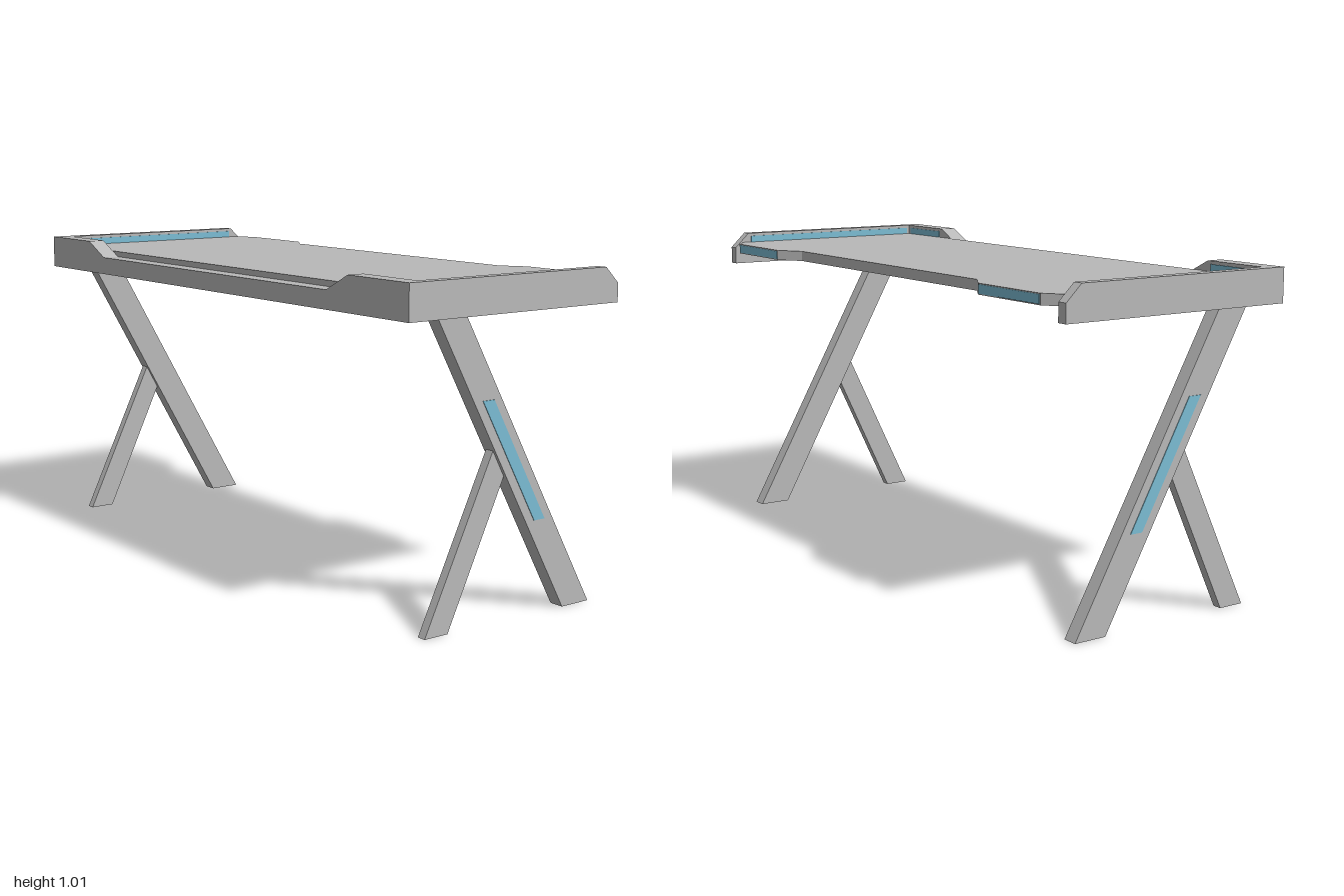
import * as THREE from 'three';

const grey = new THREE.MeshStandardMaterial({ color: 0xb8b8b8 });
grey.name = 'grey';
const blue = new THREE.MeshStandardMaterial({ color: 0x7abbd2 });
blue.name = 'blue';

const extrude = (points, depth) => new THREE.ExtrudeGeometry(
  new THREE.Shape(points.map(([a, b]) => new THREE.Vector2(a, b))),
  { depth, bevelEnabled: false });

// Side profile of [z, y] points, spanning x0..x1
const sidePlate = (points, x0, x1) =>
  extrude(points, Math.abs(x1 - x0)).rotateY(-Math.PI / 2).translate(Math.max(x0, x1), 0, 0);

const box = (x0, x1, y0, y1, z0, z1) =>
  new THREE.BoxGeometry(Math.abs(x1 - x0), y1 - y0, z1 - z0)
    .translate((x0 + x1) / 2, (y0 + y1) / 2, (z0 + z1) / 2);

// Mirror half an outline across x = 0
const mirrored = (half) => [...half, ...half.map(([x, v]) => [-x, v]).reverse()];

export function createModel() {
  const model = new THREE.Group();
  model.name = 'desk';
  const add = (name, geometry, material = grey) => {
    const mesh = new THREE.Mesh(geometry, material);
    mesh.name = name;
    model.add(mesh);
  };

  // Tabletop with a recessed middle along the back edge
  const outline = mirrored([
    [0.53, -0.355], [0.61, -0.406], [0.905, -0.406], [0.967, -0.36], [0.967, 0.352],
  ]);
  add('tabletop', extrude(outline, 0.033).rotateX(Math.PI / 2).translate(0, 0.98, 0));

  // Front rim, lowered in the middle
  const front = mirrored([[1, 0.905], [1, 1.012], [0.735, 1.012], [0.635, 0.962]]);
  add('frontRim', extrude(front, 0.056).translate(0, 0, 0.352));

  for (const s of [1, -1]) {
    const side = s > 0 ? 'left' : 'right';

    // Side rim with a chamfered back corner
    add(side + 'Rim', sidePlate([
      [0.352, 0.905], [0.352, 1.012], [-0.34, 1.012], [-0.392, 0.962], [-0.392, 0.905],
    ], s * 0.966, s));

    // Crossed legs
    add(side + 'MainLeg', sidePlate([
      [-0.222, 0], [0.307, 0.945], [0.202, 0.945], [-0.33, 0],
    ], s * 0.928, s * 0.976));
    add(side + 'Strut', sidePlate([
      [0.31, 0], [0.064, 0.51], [0.02, 0.43], [0.225, 0],
    ], s * 0.938, s * 0.967));

    // Blue inlays on the leg, inner rims and back edge
    add(side + 'LegStripe', sidePlate([
      [0.115, 0.66], [0.072, 0.66], [-0.137, 0.285], [-0.095, 0.285],
    ], s * 0.974, s * 0.978), blue);
    add(side + 'RimStripe', box(s * 0.963, s * 0.967, 0.979, 1.002, -0.33, 0.34), blue);
    add(side + 'FrontRimStripe', box(s * 0.75, s * 0.95, 0.979, 1.002, 0.349, 0.353), blue);
    add(side + 'BackStripe', box(s * 0.615, s * 0.9, 0.95, 0.977, -0.408, -0.405), blue);
  }
  return model;
}
